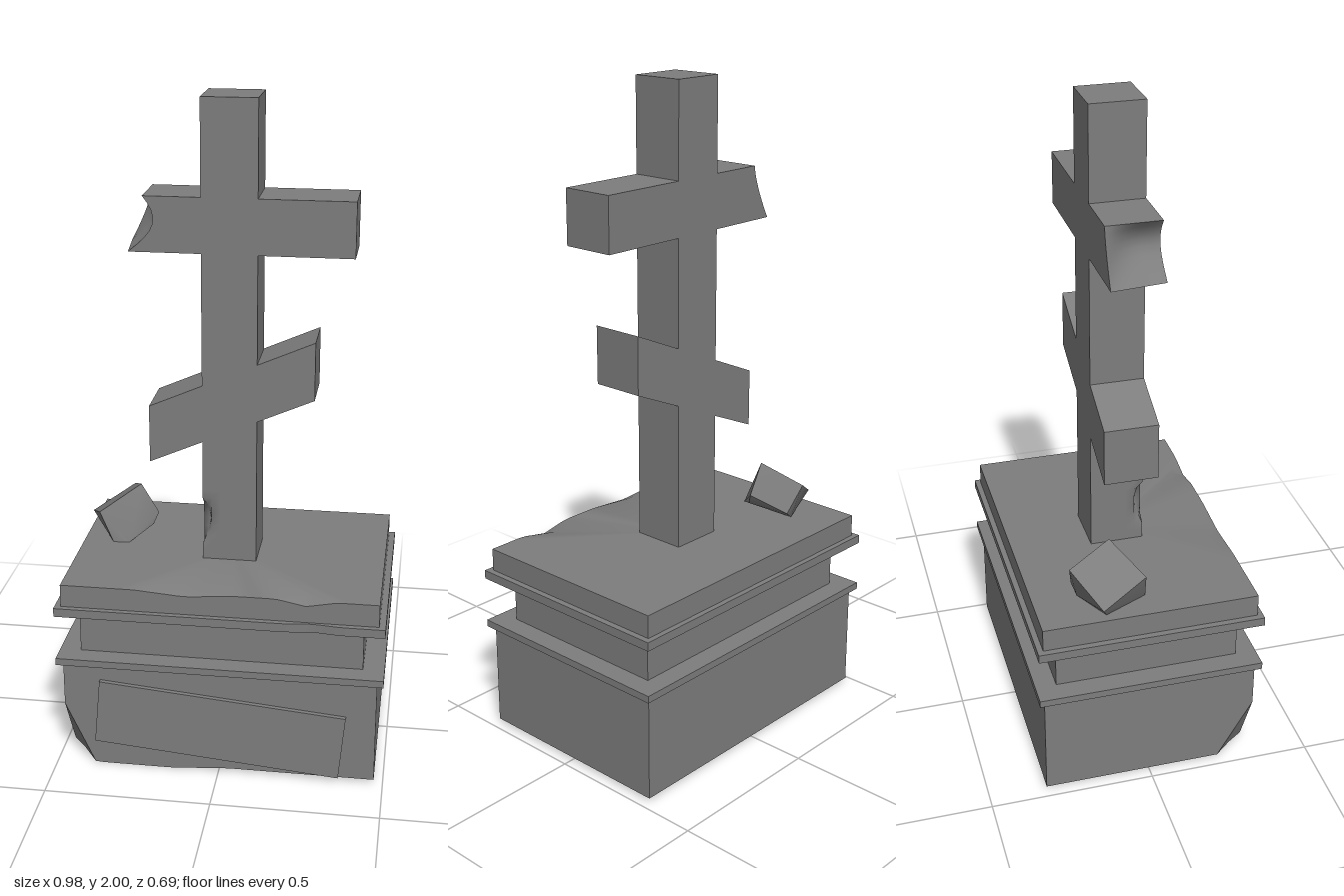
import * as THREE from 'three';
import { ConvexGeometry } from 'three/addons/geometries/ConvexGeometry.js';
import { toCreasedNormals } from 'three/addons/utils/BufferGeometryUtils.js';

const stone = new THREE.MeshStandardMaterial({ color: 0x7d7d7d, side: THREE.DoubleSide });

function addMesh(group, name, geometry) {
  const mesh = new THREE.Mesh(geometry, stone);
  mesh.name = name;
  group.add(mesh);
  return mesh;
}

// Moves every vertex of a geometry by a rule
function reshape(geometry, rule) {
  const pos = geometry.attributes.position;
  const v = new THREE.Vector3();
  for (let i = 0; i < pos.count; i++) {
    rule(v.fromBufferAttribute(pos, i));
    pos.setXYZ(i, v.x, v.y, v.z);
  }
  geometry.computeVertexNormals();
  return geometry;
}

// Bump of half width w around c
const bump = (x, c, w) => Math.max(0, 1 - Math.abs(x - c) / w);

// Unit rectangle outline: front-right corner first, finely divided along the front
const CHIP_X = 0.81, CHIP_Z = 0.67, FRONT = 32;
function unitRing() {
  const ring = [[-1, 1]];
  for (let i = 0; i <= FRONT; i++) ring.push([-CHIP_X + (1 + CHIP_X) * i / FRONT, 1]);
  ring.push([1, -1], [-1, -1], [-1, CHIP_Z]);
  return ring;
}

// Hollow stepped pedestal, open below, with worn front edges
function pedestalGeometry() {
  const wear = x => bump(x, 0.26, 0.09) * 0.045 + bump(x, -0.1, 0.15) * 0.03;
  const lipWear = x => bump(x, 0.28, 0.08) * 0.01;
  // y, half width, half depth, inward wear, downward wear
  const B = [0.473, 0.326], L = [0.492, 0.343], N = [0.428, 0.28];
  const levels = [
    [0.013, ...B], [0.2, ...B], [0.34, ...B], [0.34, ...L], [0.362, ...L], [0.362, ...N],
    [0.503, ...N], [0.503, ...L, lipWear], [0.53, ...L, lipWear], [0.53, ...B],
    [0.6, ...B, null, x => wear(x) * 0.4], [0.6, ...B, wear],
  ];
  const unit = unitRing();
  const rings = levels.map(([y, hx, hz, inward, down], level) => unit.map(([ux, uz], i) => {
    let x = ux * hx, z = uz * hz, yy = y;
    if (uz === 1 && inward) z -= inward(x);
    if (uz === 1 && down) yy -= down(x);
    if (level === 0) {
      // Broken lower corner and slightly sunken front edge
      if (i === 0) { x = -hx * (1 + CHIP_X) / 2; z = hz * (1 + CHIP_Z) / 2; }
      else if (uz === 1) yy -= 0.013 * Math.min(1, 1.6 * bump(x, -0.25, 0.28));
    }
    return [x, yy, z];
  }));
  const out = [];
  const tri = (a, b, c) => out.push(...a, ...b, ...c);
  const n = unit.length;
  for (let r = 0; r < rings.length - 1; r++) {
    const a = rings[r], b = rings[r + 1];
    for (let i = 0; i < n; i++) {
      const j = (i + 1) % n;
      if (i === 0) { tri(a[i], a[j], b[i]); tri(a[j], b[j], b[i]); }
      else { tri(a[i], a[j], b[j]); tri(a[i], b[j], b[i]); }
    }
  }
  const top = rings[rings.length - 1];
  for (let i = 0; i < n; i++) tri(top[i], top[(i + 1) % n], [0, 0.6, 0]);
  const g = new THREE.BufferGeometry();
  g.setAttribute('position', new THREE.Float32BufferAttribute(out, 3));
  return toCreasedNormals(g, 0.5);
}

export function createModel() {
  const model = new THREE.Group();
  model.name = 'graveMonument';

  addMesh(model, 'pedestal', pedestalGeometry());

  // Tilted plate on the front
  const plaque = addMesh(model, 'plaque', new THREE.BoxGeometry(0.748, 0.207, 0.02));
  plaque.position.set(0.0025, 0.154, 0.33);
  plaque.rotation.z = -0.09;

  // Cross
  const cross = new THREE.Group();
  cross.name = 'cross';
  model.add(cross);
  const W = 0.082;

  // Post, chipped on one edge near its foot
  const post = new THREE.BoxGeometry(2 * W, 1.4, 2 * W, 6, 56, 6).translate(0, 1.3, 0);
  addMesh(cross, 'post', reshape(post, v => {
    if (v.x < -W + 0.001 && v.z > W - 0.001) {
      const d = 0.024 * Math.sqrt(bump(v.y, 0.73, 0.065));
      v.x += d;
      v.z -= d;
    }
  }));

  // Upper bar with one end broken off in a hollow
  const top = 1.72, height = 0.163;
  const bar = new THREE.BoxGeometry(0.67, height, 2 * W, 1, 8, 8).translate(0.025, top - height / 2, 0);
  addMesh(cross, 'upperBar', reshape(bar, v => {
    if (v.x > 0) return;
    const u = THREE.MathUtils.clamp((top - v.y) / height, 0, 1);
    const f = (v.z + W) / (2 * W);
    const scoop = Math.sin(Math.PI * u) * (0.045 * f + 0.025 * Math.sin(Math.PI * f));
    v.x = -0.25 - 0.063 * Math.pow(u, 1.4) * (1 - 0.3 * f) + scoop;
  }));

  // Slanted lower bar
  const slant = new THREE.BoxGeometry(0.494, 0.177, 2 * W).translate(0.005, 1.106, 0);
  addMesh(cross, 'slantedBar', reshape(slant, v => { v.y += 0.44 * v.x; }));

  // Broken end of the bar lying on the pedestal
  const corners = [
    [-0.477, 0.637, -0.146], [-0.352, 0.71, -0.217], [-0.305, 0.765, -0.085], [-0.424, 0.695, -0.005],
    [-0.25, 0.67, -0.087], [-0.297, 0.625, -0.2], [-0.265, 0.635, -0.07], [-0.33, 0.6, 0.003],
    [-0.38, 0.6, 0.005], [-0.445, 0.6, -0.13], [-0.33, 0.6, -0.19],
  ].map(p => new THREE.Vector3(...p));
  addMesh(model, 'brokenPiece', toCreasedNormals(new ConvexGeometry(corners), 0.8));

  return model;
}
